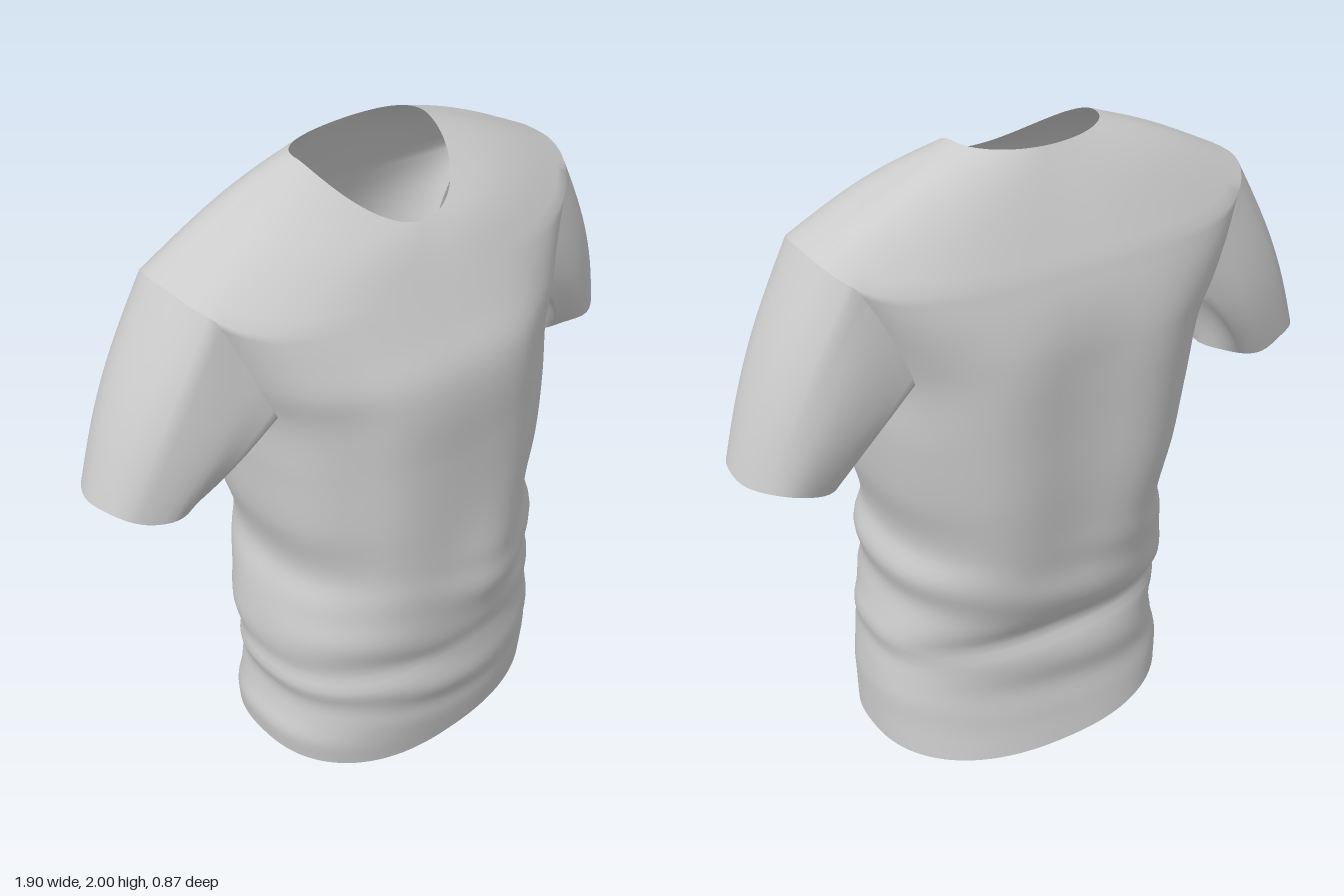
import * as THREE from 'three';

const COLS = 120, BODY = 68, YOKE = 12, SLEEVE = 14;
const ARM_ROW = 57;               // first row of the armhole
const ARM_FRONT = 8, ARM_BACK = 10; // armhole columns in front of / behind the side line

// Body profile: height -> half width right (-x), half width left (+x), front z, back z
const profile = [
  [0.00, 0.50, 0.53, 0.355, -0.370],
  [0.10, 0.51, 0.53, 0.370, -0.350],
  [0.20, 0.49, 0.53, 0.380, -0.335],
  [0.30, 0.48, 0.52, 0.392, -0.335],
  [0.37, 0.50, 0.51, 0.388, -0.325],
  [0.42, 0.49, 0.52, 0.380, -0.310],
  [0.50, 0.50, 0.50, 0.390, -0.355],
  [0.60, 0.49, 0.48, 0.400, -0.385],
  [0.70, 0.47, 0.50, 0.402, -0.400],
  [0.80, 0.44, 0.47, 0.402, -0.410],
  [1.00, 0.48, 0.51, 0.402, -0.425],
  [1.20, 0.50, 0.53, 0.400, -0.430],
  [1.42, 0.53, 0.54, 0.398, -0.435],
  [1.50, 0.57, 0.57, 0.380, -0.432],
  [1.60, 0.62, 0.63, 0.325, -0.415],
  [1.70, 0.67, 0.70, 0.270, -0.385],
];
const body = new THREE.CubicInterpolant(profile.map(p => p[0]), profile.flatMap(p => p.slice(1)), 4);

const material = new THREE.MeshStandardMaterial({ color: 0xcccccc, side: THREE.DoubleSide });
const { smoothstep, lerp } = THREE.MathUtils;
const bend = (v, p) => Math.sign(v) * Math.abs(v) ** p;
const bell = (v, width) => Math.exp(-((v / width) ** 2));

// Surface through closed rings of points; skip(row, column) leaves holes
function skin(name, rings, skip = () => false) {
  const n = rings[0].length, index = [];
  for (let r = 0; r < rings.length - 1; r++) {
    for (let j = 0; j < n; j++) {
      if (skip(r, j)) continue;
      const a = r * n + j, b = r * n + (j + 1) % n;
      index.push(a, a + n, b + n, a, b + n, b);
    }
  }
  const geometry = new THREE.BufferGeometry().setFromPoints(rings.flat());
  geometry.setIndex(index);
  geometry.computeVertexNormals();
  const mesh = new THREE.Mesh(geometry, material);
  mesh.name = name;
  return mesh;
}

// Cloth folds: slanted creases at the waist, a belly bulge, long drapes above
function fold(x, y, s) {
  const waist = smoothstep(y, 0.08, 0.25) * (1 - smoothstep(y, 0.6, 0.85));
  const front = Math.max(s, 0), back = Math.max(-s, 0);
  const slant = y - 0.5 * Math.max(x + 0.1, 0) ** 1.5 + 0.12 * Math.sin(4 * x);
  const creases = 0.009 * front * Math.sin(slant * 31) * (0.65 + 0.35 * Math.sin(7 * x + 9 * y));
  const tuck = 0.007 * back * Math.sin((y - 0.25 * x) * 24);
  const belly = 0.03 * front * bell(x - 0.1, 0.13) * bell(y - 0.72, 0.2);
  const drape = smoothstep(y, 0.5, 0.9) * (1 - smoothstep(y, 1.35, 1.65));
  return waist * (creases + tuck) + belly - drape * back * 0.012 * Math.cos(x * 13)
    - drape * front * 0.022 * bell(Math.abs(x) - 0.37, 0.1);
}

// Point of the body at height y and angle t (0 = left side, 90 degrees = front)
function bodyPoint(y, t) {
  const [wr, wl, zf, zb] = body.evaluate(y);
  const c = Math.cos(t), s = Math.sin(t);
  const zc = -0.1 * smoothstep(y, 0.8, 1.6);
  const p = lerp(0.83, s > 0 ? 0.76 : 0.69, smoothstep(y, 0.5, 1.3));
  let x = (c > 0 ? wl : wr) * bend(c, p);
  let z = zc + (s > 0 ? zf - zc : zc - zb) * bend(s, p);
  const d = fold(x, y, s);
  x += d * c;
  z += d * s;
  const hem = (1 - smoothstep(y, 0, 0.3)) * (x < 0 ? 0.2 : 0.1) * x * x;
  const shoulder = 0.095 * smoothstep(y, 1.42, 1.7) * c ** 6;
  return new THREE.Vector3(x, y + hem + shoulder, z);
}

// Point of the neckline at angle t
function neckPoint(t) {
  const c = Math.cos(t), s = Math.sin(t);
  return new THREE.Vector3(
    0.02 + 0.225 * c,
    s > 0 ? 2 - 0.15 * s ** 1.5 : 2 - 0.015 * s * s,
    -0.1 + (s > 0 ? 0.27 * s : 0.13 * bend(s, 0.85)));
}

// Sleeve from the armhole edge to an oval cuff
function sleeve(name, loop, side) {
  const rings = [];
  const lift = side > 0 ? 0 : 0.015;
  for (let i = 0; i <= SLEEVE; i++) {
    const t = i / SLEEVE;
    rings.push(loop.map(p => {
      const phi = Math.atan2((p.z + 0.1) / 0.2, (p.y - 1.6) / 0.19);
      const u = Math.cos(phi), v = Math.sin(phi);
      const ripple = 1 + 0.03 * Math.sin(phi * 5 + side);
      const cuff = new THREE.Vector3(
        side * (0.8 + 0.15 * u),
        1.155 + lift + 0.035 * u + 0.006 * Math.sin(phi * 4),
        -0.1 + 0.17 * v * ripple);
      const q = p.clone().lerp(cuff, t);
      const bulge = Math.sin(Math.PI * t);
      q.x += side * 0.025 * bulge * Math.abs(u);
      q.z += 0.02 * bulge * v;
      return q;
    }));
  }
  return skin(name, rings);
}

export function createModel() {
  const group = new THREE.Group();
  group.name = 'shirt';
  const angles = Array.from({ length: COLS }, (_, j) => j / COLS * Math.PI * 2);

  // Body rings, then the yoke closing in to the neckline
  const rings = [];
  for (let r = 0; r <= BODY; r++) rings.push(angles.map(t => bodyPoint(1.7 * r / BODY, t)));
  const top = rings[BODY];
  for (let r = 1; r <= YOKE; r++) {
    const k = r / YOKE;
    rings.push(angles.map((t, j) => {
      const p = top[j].clone().lerp(neckPoint(t), k);
      p.y += Math.sin(Math.PI * k) * (0.008 + 0.022 * Math.abs(Math.sin(2 * t)));
      return p;
    }));
  }

  // Column ranges of the two armholes
  const wrap = j => (j + COLS) % COLS;
  const arms = [
    { name: 'leftSleeve', side: 1, from: -ARM_BACK, to: ARM_FRONT },
    { name: 'rightSleeve', side: -1, from: COLS / 2 - ARM_FRONT, to: COLS / 2 + ARM_BACK },
  ];
  const inArmhole = (r, j) => r >= ARM_ROW && r < BODY &&
    arms.some(a => wrap(j - a.from) < a.to - a.from);
  group.add(skin('torso', rings, inArmhole));

  for (const { name, side, from, to } of arms) {
    // Walk around the armhole edge
    const loop = [];
    for (let j = from; j < to; j++) loop.push(rings[ARM_ROW][wrap(j)]);
    for (let r = ARM_ROW; r < BODY; r++) loop.push(rings[r][wrap(to)]);
    for (let j = to; j > from; j--) loop.push(rings[BODY][wrap(j)]);
    for (let r = BODY; r > ARM_ROW; r--) loop.push(rings[r][wrap(from)]);
    group.add(sleeve(name, loop, side));
  }
  return group;
}
